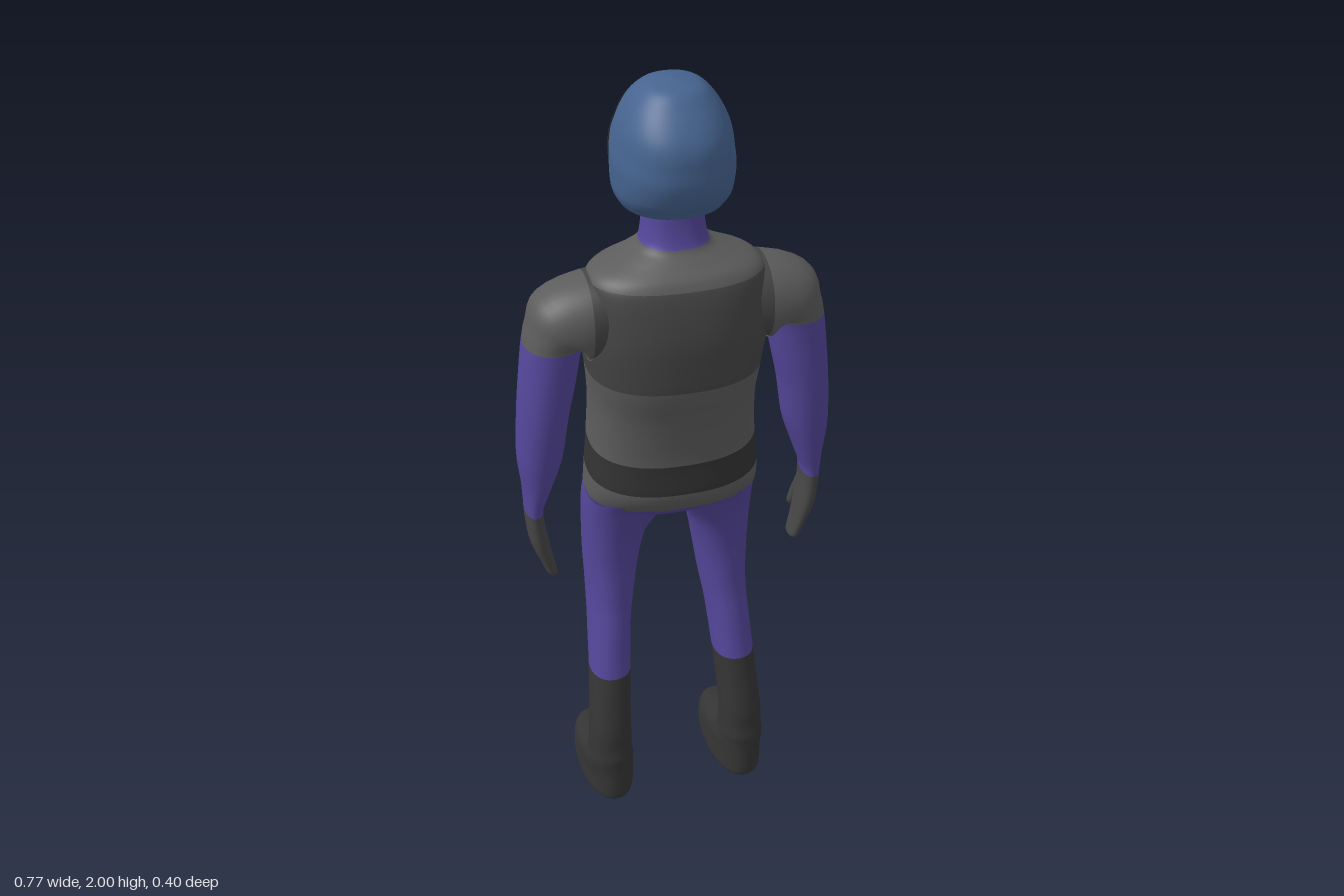
import * as THREE from 'three';

const COLORS = {
  suit: 0x54479a, grey: 0x5c5c5c, chest: 0x464646, belt: 0x333333,
  boot: 0x353535, glove: 0x464646, helmet: 0x466490, visor: 0x333333, lens: 0xa84a90,
};
const materials = {};
for (const key in COLORS) {
  materials[key] = new THREE.MeshStandardMaterial({ color: COLORS[key] });
}

// Smooth interpolation through rows of numbers without overshoot
function sampleRows(rows, sub) {
  const tangent = (k, i) => {
    const a = i > 0 ? rows[i][k] - rows[i - 1][k] : null;
    const b = i < rows.length - 1 ? rows[i + 1][k] - rows[i][k] : null;
    if (a === null) return b;
    if (b === null) return a;
    return a * b <= 0 ? 0 : (2 * a * b) / (a + b);
  };
  const out = [];
  for (let i = 0; i < rows.length - 1; i++) {
    for (let s = 0; s < sub; s++) {
      const t = s / sub, t2 = t * t, t3 = t2 * t;
      out.push(rows[i].map((v, k) =>
        (2 * t3 - 3 * t2 + 1) * v + (t3 - 2 * t2 + t) * tangent(k, i) +
        (3 * t2 - 2 * t3) * rows[i + 1][k] + (t3 - t2) * tangent(k, i + 1)));
    }
  }
  out.push(rows[rows.length - 1]);
  return out;
}

// Point on a superellipse ring: [x, y, z, rx, rz, tilt, slope]
function ringPoint([x, y, z, rx, rz, tilt, slope], angle, n, grow = 0) {
  const pow = (v) => Math.sign(v) * Math.abs(v) ** (2 / n);
  const u = (rx + grow) * pow(Math.cos(angle));
  const w = (rz + grow) * pow(Math.sin(angle));
  const a = THREE.MathUtils.degToRad(tilt);
  return [x + u * Math.cos(a), y + u * Math.sin(a) + slope * w, z + w];
}

// Loft from the top down; bands = [[first section, part name, colour], ...]
function loft(rows, bands, { n = 2.2, side = 1, sub = 4, segs = 40 } = {}) {
  const full = rows.map((r) => [...r, 0, 0].slice(0, 7));
  const rings = sampleRows(full, sub);
  const positions = [];
  for (const ring of rings) {
    for (let j = 0; j < segs; j++) {
      const [x, y, z] = ringPoint(ring, (j / segs) * Math.PI * 2, n);
      positions.push(x * side, y, z);
    }
  }
  const facesOf = (from, to) => {
    const index = [];
    for (let i = from; i < to; i++) {
      for (let j = 0; j < segs; j++) {
        const a = i * segs + j, b = i * segs + ((j + 1) % segs);
        const c = a + segs, d = b + segs;
        if (side > 0) index.push(a, b, c, b, d, c);
        else index.push(a, c, b, b, c, d);
      }
    }
    return index;
  };
  const whole = new THREE.BufferGeometry();
  whole.setAttribute('position', new THREE.Float32BufferAttribute(positions, 3));
  whole.setIndex(facesOf(0, rings.length - 1));
  whole.computeVertexNormals();
  // Bands share vertices and normals, so shading runs on across colours
  return bands.map(([start, name, color], i) => {
    const end = i + 1 < bands.length ? bands[i + 1][0] : rows.length - 1;
    const geometry = new THREE.BufferGeometry();
    geometry.setAttribute('position', whole.attributes.position);
    geometry.setAttribute('normal', whole.attributes.normal);
    geometry.setIndex(facesOf(start * sub, end * sub));
    const mesh = new THREE.Mesh(geometry, materials[color]);
    mesh.name = name;
    return mesh;
  });
}

const TORSO = [
  [0, 1.74, 0.025, 0.066, 0.06], [0, 1.68, 0.025, 0.07, 0.065],
  [0, 1.62, 0.03, 0.08, 0.075], [0, 1.595, 0.04, 0.125, 0.092],
  [0, 1.57, 0.045, 0.185, 0.118], [0, 1.55, 0.045, 0.205, 0.13],
  [0, 1.5, 0.038, 0.216, 0.152], [0, 1.4, 0.028, 0.22, 0.173],
  [0, 1.3, 0.02, 0.208, 0.175], [0, 1.2, 0.008, 0.2, 0.163],
  [0, 1.09, 0.003, 0.205, 0.153, 0, -0.1], [0, 1.01, 0.005, 0.212, 0.155, 0, -0.1],
  [0, 0.945, -0.005, 0.215, 0.143, 0, -0.05], [0, 0.9, -0.025, 0.198, 0.118],
  [0, 0.875, -0.03, 0.12, 0.09], [0, 0.865, -0.03, 0, 0],
];

const ARM = [
  [0.08, 1.48, 0.04, 0.08, 0.09, 90], [0.21, 1.455, 0.042, 0.1, 0.103, 90],
  [0.255, 1.438, 0.042, 0.1, 0.1, 50], [0.278, 1.42, 0.04, 0.075, 0.092, 20],
  [0.289, 1.4, 0.04, 0.07, 0.086, 0], [0.305, 1.3, 0.04, 0.066, 0.084],
  [0.32, 1.2, 0.04, 0.06, 0.08], [0.33, 1.1, 0.038, 0.055, 0.073],
  [0.342, 1.0, 0.033, 0.034, 0.062], [0.351, 0.93, 0.03, 0.022, 0.05],
  [0.343, 0.85, 0.034, 0.023, 0.045], [0.325, 0.78, 0.036, 0.017, 0.035],
  [0.313, 0.74, 0.036, 0.013, 0.027], [0.31, 0.73, 0.036, 0, 0],
];

const THUMB = [
  [0.342, 0.89, 0.01, 0.014, 0.015], [0.336, 0.84, -0.008, 0.015, 0.018],
  [0.327, 0.8, -0.018, 0.012, 0.012], [0.324, 0.785, -0.02, 0, 0],
];

const LEG = [
  [0.108, 0.95, -0.005, 0.1, 0.13], [0.11, 0.9, -0.028, 0.105, 0.122],
  [0.135, 0.8, -0.048, 0.08, 0.103], [0.144, 0.7, -0.055, 0.069, 0.096],
  [0.15, 0.6, -0.048, 0.06, 0.092], [0.159, 0.5, -0.022, 0.054, 0.083],
  [0.167, 0.385, 0.013, 0.053, 0.07], [0.173, 0.3, 0.035, 0.053, 0.066],
  [0.179, 0.2, 0.057, 0.055, 0.062], [0.18, 0.145, 0.057, 0.057, 0.068],
  [0.181, 0.115, 0.03, 0.064, 0.096], [0.18, 0.095, 0.004, 0.068, 0.122],
  [0.179, 0.06, -0.03, 0.07, 0.158], [0.179, 0.03, -0.037, 0.071, 0.166],
  [0.179, 0.007, -0.036, 0.069, 0.162], [0.179, 0.004, -0.036, 0, 0],
];

const HEAD = [
  [0, 2.0, 0.03, 0, 0], [0, 1.99, 0.03, 0.055, 0.062],
  [0, 1.955, 0.025, 0.095, 0.108], [0, 1.9, 0.027, 0.122, 0.147],
  [0, 1.85, 0.018, 0.132, 0.167], [0, 1.81, 0.02, 0.136, 0.166],
  [0, 1.75, 0.012, 0.133, 0.157, 0, 0.04], [0, 1.715, 0.003, 0.122, 0.142, 0, 0.08],
  [0, 1.7, 0, 0.105, 0.128, 0, 0.08], [0, 1.7, 0, 0, 0, 0, 0.08],
];

// Dark face panel lying on the front of the helmet
function faceVisor() {
  const n = 2.3, segs = 32, sub = 6;
  const rings = sampleRows(HEAD.map((r) => [...r, 0, 0].slice(0, 7)), sub).slice(2 * sub, 5 * sub + 1);
  const positions = [], index = [];
  rings.forEach((ring, i) => {
    const edge = -0.022 - 0.043 * ((ring[1] - 1.81) / 0.145);
    const reach = Math.min(1, (ring[2] - edge) / ring[4]);
    const start = Math.asin(reach ** (n / 2));
    for (let j = 0; j <= segs; j++) {
      const angle = -Math.PI + start + (j / segs) * (Math.PI - 2 * start);
      positions.push(...ringPoint([...ring.slice(0, 5), 0, 0], angle, n, 0.003));
      if (i < rings.length - 1 && j < segs) {
        const a = i * (segs + 1) + j, c = a + segs + 1;
        index.push(a, a + 1, c, a + 1, c + 1, c);
      }
    }
  });
  const geometry = new THREE.BufferGeometry();
  geometry.setAttribute('position', new THREE.Float32BufferAttribute(positions, 3));
  geometry.setIndex(index);
  geometry.computeVertexNormals();
  const material = materials.visor.clone();
  material.side = THREE.DoubleSide;
  const mesh = new THREE.Mesh(geometry, material);
  mesh.name = 'faceVisor';
  return mesh;
}

export function createModel() {
  const model = new THREE.Group();
  model.name = 'suitedFigure';

  model.add(...loft(TORSO, [
    [0, 'neck', 'suit'], [2, 'collar', 'grey'], [5, 'chestPanel', 'chest'],
    [8, 'waist', 'grey'], [10, 'belt', 'belt'], [11, 'hipBand', 'grey'], [12, 'pelvis', 'suit'],
  ], { n: 2.4, segs: 56 }));

  model.add(...loft(HEAD, [[0, 'helmet', 'helmet']], { n: 2.3, sub: 6, segs: 64 }), faceVisor());

  // Limbs and eye lenses, mirrored; the figure looks toward -z
  for (const side of [1, -1]) {
    const limb = new THREE.Group();
    limb.name = side > 0 ? 'limbsPlusX' : 'limbsMinusX';
    limb.add(...loft(ARM, [
      [0, 'shoulderRoot', 'chest'], [1, 'shortSleeve', 'grey'], [4, 'arm', 'suit'], [9, 'glove', 'glove'],
    ], { side }));
    limb.add(...loft(THUMB, [[0, 'thumb', 'glove']], { side, segs: 16 }));
    limb.add(...loft(LEG, [[0, 'leg', 'suit'], [6, 'boot', 'boot']], { side }));

    const lens = new THREE.Mesh(new THREE.BoxGeometry(0.09, 0.048, 0.03), materials.lens);
    lens.name = 'eyeLens';
    lens.position.set(0.045 * side, 1.836, -0.134);
    lens.rotation.y = -0.42 * side;
    limb.add(lens);
    model.add(limb);
  }
  return model;
}
